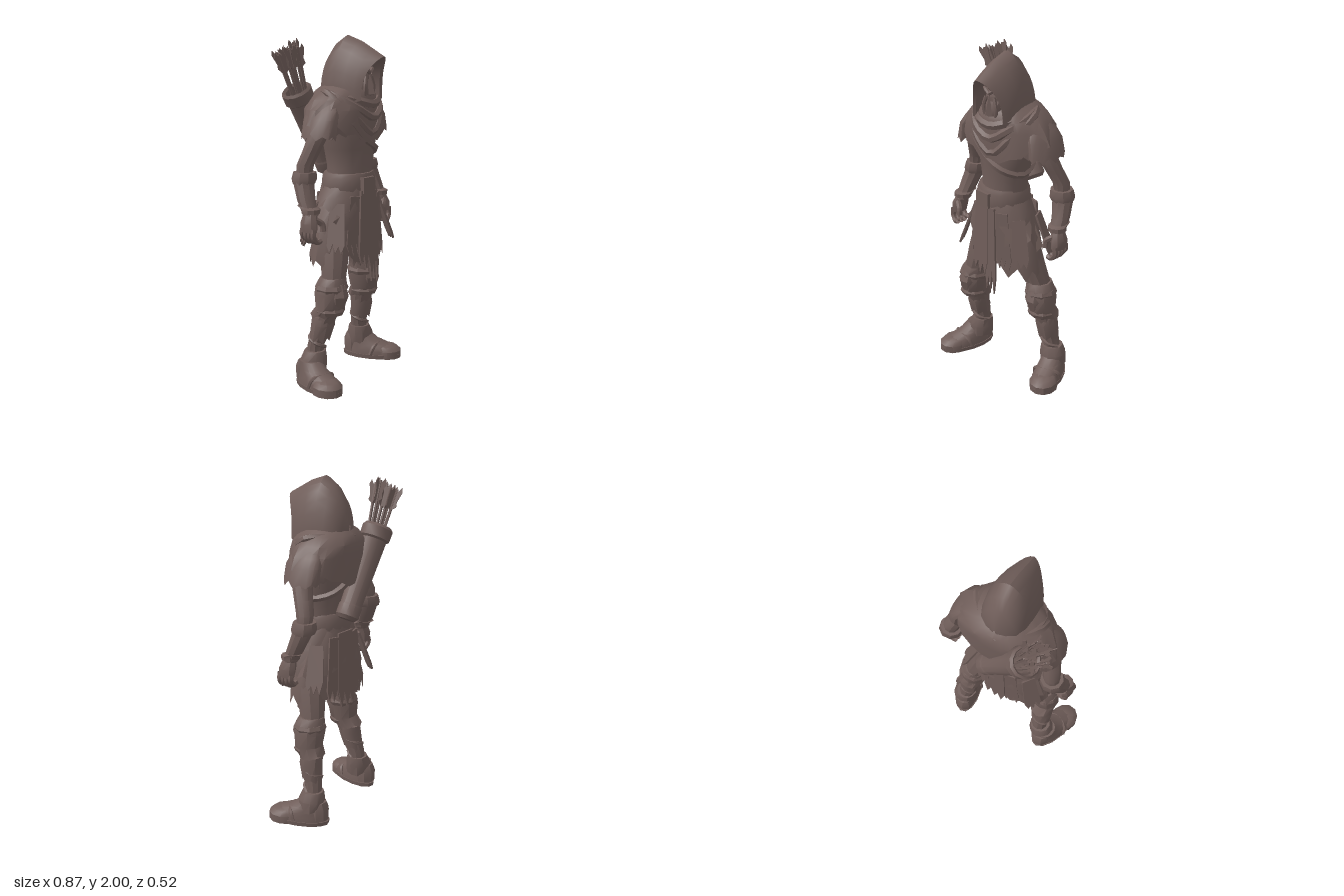
import * as THREE from 'three';
import { toCreasedNormals } from 'three/addons/utils/BufferGeometryUtils.js';

const V = (x, y, z) => new THREE.Vector3(x, y, z);
let seed = 7;
const rnd = () => (seed = (seed * 16807) % 2147483647) / 2147483647;

export function createModel() {
  const model = new THREE.Group();
  const cloth = new THREE.MeshStandardMaterial({ color: 0x705e5a, side: THREE.DoubleSide });
  cloth.name = 'dusty brown';

  const add = (name, geo, parent = model) => {
    const mesh = new THREE.Mesh(toCreasedNormals(geo, 0.6), cloth);
    mesh.name = name;
    parent.add(mesh);
    return mesh;
  };
  const group = (name, x, y, z, yaw = 0, parent = model) => {
    const g = new THREE.Group();
    g.name = name;
    g.position.set(x, y, z);
    g.rotation.y = yaw;
    parent.add(g);
    return g;
  };

  // Skin over rows of points
  const skin = (rows) => {
    const n = rows[0].length, idx = [];
    for (let i = 0; i < rows.length - 1; i++)
      for (let j = 0; j < n - 1; j++) {
        const a = i * n + j, c = a + n;
        idx.push(a, c, a + 1, a + 1, c, c + 1);
      }
    const geo = new THREE.BufferGeometry().setFromPoints(rows.flat());
    geo.setIndex(idx);
    return geo;
  };
  // Level rings [x, y, z, rx, rz] listed from bottom to top; jag tears the hem
  const loft = (rings, { n = 12, jag = 0, cap = true, hem = () => 0 } = {}) => {
    const rows = rings.map(([x, y, z, rx, rz], i) => {
      const row = [];
      for (let j = 0; j < n; j++) {
        const a = (j / n) * Math.PI * 2;
        const dy = i === 0 ? (jag ? (j % 2 ? 0 : -jag) - rnd() * jag : 0) + hem(a) : 0;
        const k = jag ? 0.96 + rnd() * 0.08 : 1;
        row.push(V(x + Math.cos(a) * rx * k, y + dy, z + Math.sin(a) * rz * k));
      }
      return [...row, row[0].clone()];
    });
    if (cap) {
      const mid = ([x, y, z]) => Array.from({ length: n + 1 }, () => V(x, y, z));
      if (!jag) rows.unshift(mid(rings[0]));
      rows.push(mid(rings[rings.length - 1]));
    }
    return skin(rows);
  };
  const tube = (pts, r, closed = false, sides = 6) =>
    new THREE.TubeGeometry(new THREE.CatmullRomCurve3(pts.map((p) => V(...p)), closed), pts.length * 4, r, sides, closed);
  // Torn hanging strip with a zigzag lower edge
  const strip = (w, len, teeth = 3) => {
    const s = new THREE.Shape();
    s.moveTo(-w * 0.4, 0);
    for (let i = 0; i <= teeth * 2; i++)
      s.lineTo(-w / 2 + (w * i) / (teeth * 2), -len * (i % 2 ? 0.92 + rnd() * 0.08 : 0.72 + rnd() * 0.12));
    s.lineTo(w * 0.4, 0);
    return new THREE.ExtrudeGeometry(s, { depth: 0.012, bevelEnabled: false });
  };

  // Torso and belt
  add('torso', loft([[-0.01, 1.1, 0.04, 0.15, 0.13], [0, 1.25, 0.04, 0.142, 0.122], [0, 1.36, 0.035, 0.16, 0.135],
    [0, 1.48, 0.03, 0.195, 0.15], [0, 1.62, 0.02, 0.17, 0.14], [0, 1.72, 0.03, 0.09, 0.09]], { n: 14 }));
  add('belt', loft([[-0.012, 1.11, 0.042, 0.162, 0.146], [-0.012, 1.14, 0.042, 0.168, 0.15],
    [-0.012, 1.2, 0.042, 0.16, 0.146], [-0.012, 1.225, 0.042, 0.148, 0.136]], { n: 14 }));
  const buckle = add('beltBuckle', new THREE.BoxGeometry(0.1, 0.09, 0.03));
  buckle.position.set(-0.02, 1.16, 0.187);
  add('chestStrap', tube([[0.15, 1.32, 0.05], [0.09, 1.36, 0.155], [-0.04, 1.43, 0.172], [-0.16, 1.55, 0.15],
    [-0.2, 1.62, 0.0], [-0.12, 1.5, -0.115], [0.08, 1.36, -0.1]], 0.02, true, 5));

  // Shoulder mantle and draped scarf, turned with the shoulders
  const upper = group('shoulderDrape', 0, 0, 0, 0.12);
  add('mantleUnderLayer', loft([[0, 1.47, 0, 0.3, 0.16], [0, 1.55, 0, 0.285, 0.172], [0, 1.63, 0, 0.235, 0.172]],
    { n: 34, jag: 0.022, cap: false, hem: (a) => 0.04 * Math.abs(Math.sin(a)) - 0.02 }), upper);
  add('mantle', loft([[0, 1.525, 0, 0.315, 0.185], [0, 1.59, 0, 0.285, 0.19], [0, 1.645, 0, 0.24, 0.182],
    [0, 1.69, 0.005, 0.185, 0.16], [0, 1.72, 0.01, 0.13, 0.125]],
  { n: 28, jag: 0.018, cap: false, hem: (a) => -0.1 * Math.abs(Math.sin(a)) ** 4 }), upper);
  [[1.45, 0.2, 0.178, 0.022], [1.54, 0.18, 0.19, 0.024], [1.615, 0.15, 0.183, 0.026]].forEach(([y, w, z, r]) =>
    add('scarfFold', tube([[w, 1.675, 0.03], [w * 0.65, (y + 1.66) / 2, z * 0.85], [0.01, y, z],
      [-w * 0.65, (y + 1.66) / 2, z * 0.85], [-w, 1.675, 0.03], [0, 1.67, -0.14]], r, true), upper));

  // Hood made of arches [z at base, z at crown, half width, crown y, base y]
  const head = group('head', 0, 0, 0, 0.1);
  const arch = ([zb, zt, w, top, bot]) => Array.from({ length: 15 }, (_, j) => {
    const t = (j / 14) * Math.PI, s = Math.sin(t), c = Math.cos(t);
    return V(w * Math.sign(c) * Math.abs(c) ** 1.15, bot + (top - bot) * s ** 0.9, zb + (zt - zb) * s ** 2.6);
  });
  add('hood', skin([[-0.135, -0.135, 0.01, 1.74, 1.67], [-0.12, -0.12, 0.065, 1.81, 1.65], [-0.09, -0.085, 0.11, 1.89, 1.64],
    [-0.04, -0.04, 0.133, 1.955, 1.63], [0.02, 0.025, 0.14, 1.998, 1.63], [0.08, 0.12, 0.14, 1.965, 1.63], [0.145, 0.2, 0.132, 1.92, 1.63],
    [0.185, 0.268, 0.112, 1.882, 1.64], [0.175, 0.235, 0.1, 1.858, 1.64], [0.09, 0.12, 0.09, 1.856, 1.63]].map(arch)), head);
  const skull = add('face', new THREE.SphereGeometry(1, 12, 9), head);
  skull.scale.set(0.08, 0.115, 0.085);
  skull.position.set(0, 1.75, 0.085);
  add('mask', loft([[0, 1.62, 0.13, 0.03, 0.03], [0, 1.67, 0.13, 0.055, 0.055], [0, 1.73, 0.12, 0.07, 0.055],
    [0, 1.77, 0.1, 0.075, 0.06]], { n: 8 }), head);
  const nose = add('maskRidge', new THREE.ConeGeometry(0.026, 0.13, 4), head);
  nose.position.set(0, 1.735, 0.175);
  nose.rotation.x = -0.1;
  for (const s of [1, -1]) {
    add('brow', tube([[0, 1.79, 0.175], [s * 0.035, 1.81, 0.165], [s * 0.07, 1.81, 0.13]], 0.012), head);
    add('maskFold', tube([[s * 0.028, 1.77, 0.165], [s * 0.045, 1.71, 0.17], [s * 0.035, 1.64, 0.16]], 0.011), head);
  }

  // Skirt: flared torn layers, then loose strips over them
  add('skirtLower', loft([[-0.008, 0.81, 0.025, 0.275, 0.155], [-0.005, 0.94, 0.03, 0.235, 0.152], [-0.01, 1.1, 0.035, 0.165, 0.138]],
    { n: 26, jag: 0.05, cap: false, hem: (a) => -0.03 * Math.abs(Math.cos(a)) }));
  add('skirtMiddle', loft([[-0.01, 0.93, 0.03, 0.27, 0.16], [-0.01, 1.02, 0.035, 0.22, 0.155], [-0.01, 1.13, 0.04, 0.165, 0.142]],
    { n: 22, jag: 0.035, cap: false, hem: (a) => 0.04 * Math.sin(a * 3) }));
  add('skirtUpper', loft([[-0.015, 1.04, 0.035, 0.225, 0.158], [-0.01, 1.09, 0.04, 0.195, 0.152], [-0.012, 1.15, 0.04, 0.162, 0.144]],
    { n: 18, jag: 0.03, cap: false, hem: (a) => 0.025 * Math.sin(a * 2 + 1) }));
  [[-0.035, 1.13, 0.182, 0.12, 0.46, 0], [0.03, 1.12, 0.177, 0.085, 0.55, 0.04], [-0.1, 1.1, 0.165, 0.09, 0.34, -0.4],
    [0.1, 1.1, 0.157, 0.09, 0.36, 0.45], [0, 1.12, -0.122, 0.15, 0.48, 0], [0.08, 1.1, -0.115, 0.1, 0.4, -0.25],
    [-0.09, 1.1, -0.11, 0.1, 0.4, 0.25], [0.17, 1.06, 0.1, 0.1, 0.3, 1], [-0.18, 1.06, 0.1, 0.1, 0.3, -1],
    [0.17, 1.06, -0.05, 0.1, 0.28, 2.1], [-0.18, 1.06, -0.05, 0.1, 0.28, -2.1]].forEach(([x, y, z, w, len, yaw]) => {
    const m = add('hangingStrip', strip(w, len));
    m.position.set(x, y, z);
    const side = Math.abs(yaw) > 0.8;
    m.rotation.set(side ? -0.35 : z > 0 ? -0.02 : 0.04, yaw, side ? 0 : x * 0.6, 'YXZ');
  });

  // Arms: s is the side, e the elbow and h the hand depth
  for (const [side, s, sh, e, h] of [['left', 1, -0.025, -0.095, -0.025], ['right', -1, 0.035, -0.02, 0.06]]) {
    const ring = (x, y, z, rx, rz = rx) => [s * x, y, z, rx, rz];
    const m = (e + h) / 2;
    add(side + 'Sleeve', loft([ring(0.268, 1.465, sh, 0.068, 0.118), ring(0.25, 1.54, sh, 0.06, 0.118), ring(0.225, 1.59, sh, 0.05, 0.105),
      ring(0.2, 1.635, sh, 0.03, 0.07)], { n: 18, jag: 0.022 }));
    add(side + 'UpperArm', loft([ring(0.325, 1.22, e, 0.043), ring(0.315, 1.29, e, 0.05), ring(0.29, 1.37, (e + sh) / 2, 0.053),
      ring(0.262, 1.46, sh, 0.06), ring(0.24, 1.54, sh, 0.05)], { n: 10 }));
    add(side + 'Bracer', loft([ring(0.362, 1.02, h, 0.044), ring(0.353, 1.1, m, 0.052), ring(0.332, 1.2, e, 0.06),
      ring(0.325, 1.235, e, 0.06)], { n: 10 }));
    add(side + 'BracerTop', loft([ring(0.33, 1.185, e, 0.064), ring(0.325, 1.21, e, 0.073), ring(0.32, 1.25, e, 0.066)], { n: 9 }));
    add(side + 'BracerCuff', loft([ring(0.362, 1.03, h, 0.052), ring(0.36, 1.055, h, 0.054), ring(0.357, 1.07, m, 0.05)], { n: 9 }));
    const hand = group(side + 'Hand', s * 0.375, 0.97, h);
    add('palm', loft([[s * 0.012, -0.04, 0.01, 0.032, 0.054], [s * 0.008, 0.01, 0.005, 0.04, 0.056], [-s * 0.008, 0.06, 0, 0.036, 0.04]], { n: 8 }), hand);
    for (let i = 0; i < 4; i++) {
      const z = 0.05 - i * 0.027, d = i === 3 ? 0.012 : 0;
      add('finger', tube([[s * 0.02, -0.02, z], [s * 0.022, -0.065 + d, z], [-s * 0.004, -0.095 + d, z + 0.004],
        [-s * 0.03, -0.09 + d, z + 0.006]], 0.016), hand);
    }
    add('thumb', tube([[-s * 0.01, 0.03, 0.035], [-s * 0.045, 0, 0.055], [-s * 0.048, -0.04, 0.06]], 0.017), hand);
  }

  // Legs: knee and ankle depths differ as the left leg stands back
  for (const [side, s, k, a, footX, footZ, yaw] of [['left', 1, -0.04, -0.1, 0.308, -0.03, 0.4], ['right', -1, 0.09, 0, -0.325, 0.08, -0.2]]) {
    const ring = (x, y, z, rx, rz = rx) => [s * x, y, z, rx, rz];
    const c = (k + a) / 2;
    add(side + 'Thigh', loft([ring(0.22, 0.52, k, 0.06), ring(0.2, 0.64, k, 0.072), ring(0.165, 0.78, (k + 0.04) / 2, 0.088),
      ring(0.11, 0.98, 0.03, 0.1)], { n: 10 }));
    add(side + 'Shin', loft([ring(0.272, 0.1, a, 0.052), ring(0.258, 0.23, a, 0.05), ring(0.245, 0.36, c, 0.062), ring(0.228, 0.48, k, 0.068)], { n: 10 }));
    add(side + 'KneeWrap', loft([ring(0.24, 0.43, c, 0.076), ring(0.232, 0.47, k, 0.084), ring(0.226, 0.55, k, 0.092),
      ring(0.22, 0.6, k, 0.088), ring(0.208, 0.64, k, 0.074)], { n: 11, jag: 0.014 }));
    for (const [x, y, r] of [[0.234, 0.45, 0.077], [0.222, 0.58, 0.088]])
      add(side + 'KneeBand', loft([ring(x, y - 0.022, k, r), ring(x, y, k, r + 0.01), ring(x, y + 0.022, k, r)], { n: 9 }));
    add(side + 'KneePlate', loft([ring(0.23, 0.47, k + 0.05, 0.04, 0.035), ring(0.225, 0.54, k + 0.055, 0.062, 0.055),
      ring(0.218, 0.61, k + 0.045, 0.045, 0.04)], { n: 7 }));
    add(side + 'ShinWrap', loft([ring(0.253, 0.29, (a + c) / 2, 0.06), ring(0.247, 0.36, c, 0.068), ring(0.24, 0.41, c, 0.066)], { n: 12, jag: 0.022 }));
    // Spiral lacing on the shin
    add(side + 'Lacing', tube(Array.from({ length: 9 }, (_, i) => {
      const t = i / 8, q = t * 10;
      return [s * (0.263 - t * 0.023) + Math.cos(q) * 0.053, 0.2 + t * 0.2, a + (c - a) * t + Math.sin(q) * 0.053];
    }), 0.011, false, 5));
    add(side + 'BootCuff', loft([ring(0.28, 0.1, a, 0.075), ring(0.275, 0.15, a, 0.078), ring(0.265, 0.2, a, 0.064)], { n: 11, jag: 0.014 }));
    const foot = group(side + 'Boot', footX, 0, footZ, yaw);
    add('bootSole', loft([[0, 0, 0, 0.085, 0.182], [0, 0.025, 0, 0.088, 0.186]], { n: 14 }), foot);
    add('bootUpper', loft([[0, 0.02, 0, 0.084, 0.178], [0, 0.05, 0, 0.083, 0.172], [0, 0.08, -0.02, 0.074, 0.142],
      [0, 0.105, -0.055, 0.068, 0.1], [0, 0.15, -0.08, 0.06, 0.068]], { n: 14 }), foot);
    add('toeCap', loft([[s * 0.008, 0, 0.09, 0.084, 0.095], [s * 0.008, 0.045, 0.09, 0.084, 0.095], [s * 0.006, 0.07, 0.08, 0.068, 0.078],
      [0, 0.084, 0.06, 0.04, 0.05]], { n: 11 }), foot);
    add('bootStrap', tube([[-0.084, 0.025, 0.01], [-0.07, 0.075, 0.03], [0, 0.09, 0.05], [0.07, 0.075, 0.03], [0.084, 0.025, 0.01]], 0.013), foot);
    add('heelGuard', loft([[0, 0.03, -0.12, 0.06, 0.06], [0, 0.1, -0.12, 0.062, 0.062], [0, 0.14, -0.115, 0.05, 0.05]], { n: 8 }), foot);
  }

  // Quiver slung across the back, mouth over the right shoulder
  const quiver = group('quiver', 0.025, 1.235, -0.155);
  quiver.quaternion.setFromUnitVectors(V(0, 1, 0), V(-0.26, 0.46, -0.005).normalize());
  const profile = [[0, -0.03], [0.05, -0.03], [0.068, -0.01], [0.068, 0.05], [0.063, 0.06], [0.074, 0.45], [0.088, 0.46],
    [0.09, 0.52], [0.078, 0.535], [0.066, 0.52], [0.062, 0.42], [0, 0.42]];
  add('quiverCase', new THREE.LatheGeometry(profile.map((p) => new THREE.Vector2(...p)), 12), quiver);
  for (let i = 0; i < 7; i++) {
    const q = (i / 6) * Math.PI * 2, r = i === 6 ? 0 : 0.036;
    const arrow = group('arrow', Math.cos(q) * r, 0.42, Math.sin(q) * r, 0, quiver);
    arrow.rotation.set(Math.sin(q) * r * 2.2, i, -0.15 - Math.cos(q) * r * 2.4, 'ZXY');
    const len = 0.32 + rnd() * 0.06;
    add('arrowShaft', new THREE.CylinderGeometry(0.009, 0.009, len, 5).translate(0, len / 2, 0), arrow);
    const vane = new THREE.Shape([[0, -0.125], [0.028, -0.1], [0.022, -0.07], [0.036, -0.01], [0.026, 0.015], [0.012, -0.01], [0, 0]]
      .map((p) => new THREE.Vector2(...p)));
    for (let f = 0; f < 3; f++) {
      const fin = add('fletching', new THREE.ExtrudeGeometry(vane, { depth: 0.005, bevelEnabled: false }), arrow);
      fin.position.y = len;
      fin.rotation.y = (f * Math.PI * 2) / 3;
    }
  }
  return model;
}
